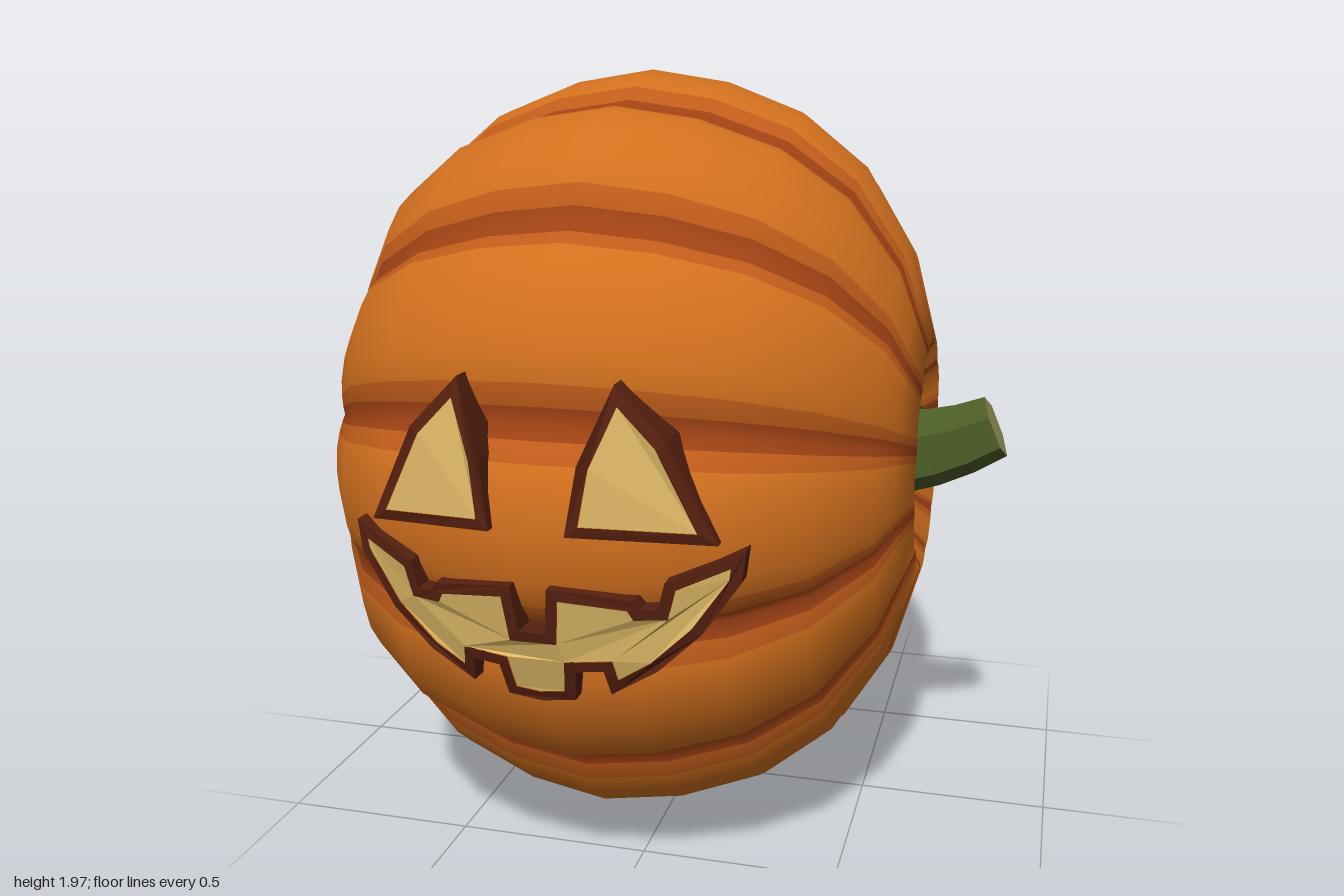
import * as THREE from 'three';

const CX = -0.107, CY = 0.995; // centre of the pumpkin, whose core runs along x
const mat = (color, opts = {}) => new THREE.MeshStandardMaterial({ color, ...opts });

function add(parent, name, geometry, material) {
  const mesh = new THREE.Mesh(geometry, material);
  mesh.name = name;
  parent.add(mesh);
  return mesh;
}

// Ribbed shell: one smooth grid, split into colour bands that share its normals
function buildShell() {
  const group = new THREE.Group();
  group.name = 'pumpkinShell';
  const half = [[0.204, 0.955], [0.398, 0.88], [0.56, 0.75], [0.68, 0.555], [0.715, 0.435], [0.75, 0.315], [0.5, 0]];
  const profile = [...half.map(([x, r]) => [-x, r]).reverse(), [0, 0.987], ...half];
  const steps = [-1, -0.85, -0.65, -0.4, 0, 0.4, 0.65, 0.85];
  const lobes = 12, cols = lobes * steps.length;
  const positions = [], all = [];
  const bands = { lobes: [], lobeEdges: [], grooves: [], baseRim: [], base: [] };
  profile.forEach(([x, r], i) => {
    for (let j = 0; j < cols; j++) {
      const t = steps[j % 8];
      const a = (Math.floor(j / 8) + t / 2) * (Math.PI * 2 / lobes);
      const k = r * (1 - 0.076 * Math.abs(t) ** 2.25);
      positions.push(CX + x, CY + k * Math.cos(a), k * Math.sin(a));
      if (i === profile.length - 1) continue;
      const p = i * cols + j, q = i * cols + (j + 1) % cols;
      const quad = [p, q, p + cols, q, q + cols, p + cols];
      all.push(...quad);
      const side = Math.min(j % 8, 7 - (j % 8)); // 0 beside a groove
      const band = i < 2 ? 'base' : i === 2 ? 'baseRim' : side === 0 ? 'grooves' : side === 1 ? 'lobeEdges' : 'lobes';
      bands[band].push(...quad);
    }
  });
  const shell = new THREE.BufferGeometry();
  shell.setAttribute('position', new THREE.Float32BufferAttribute(positions, 3));
  shell.setIndex(all);
  shell.computeVertexNormals();
  const colors = { lobes: 0xd2701e, lobeEdges: 0xc05c1a, grooves: 0xa04214, baseRim: 0x7a3210, base: 0x4f200d };
  for (const name in bands) {
    const g = new THREE.BufferGeometry();
    g.setAttribute('position', shell.attributes.position);
    g.setAttribute('normal', shell.attributes.normal);
    g.setIndex(bands[name]);
    add(group, name, g, mat(colors[name]));
  }
  return group;
}

// Six-sided stem that tapers and bends upward
function buildStem() {
  const g = new THREE.CylinderGeometry(0.084, 0.125, 1, 6, 4);
  const p = g.attributes.position;
  for (let i = 0; i < p.count; i++) {
    const t = p.getY(i) + 0.5, tilt = 0.4 * t, u = p.getZ(i), w = p.getX(i);
    p.setXYZ(i, 0.5 + 0.318 * t - u * Math.sin(tilt), 0.99 + 0.088 * t * t + u * Math.cos(tilt), w);
  }
  g.computeVertexNormals();
  const side = mat(0x4c5c26, { flatShading: true });
  return [g, [side, mat(0x8f8f55, { flatShading: true }), side]];
}

// Small curled tendril beside the stem
function buildTendril() {
  const pts = [new THREE.Vector3(0.56, 1.03, -0.08)];
  for (let i = 0; i <= 14; i++) {
    const a = i / 14 * Math.PI * 3;
    const r = 0.045 - 0.001 * i;
    pts.push(new THREE.Vector3(0.59 + 0.004 * i, 1.04 + r * Math.sin(a), -0.145 + r * Math.cos(a)));
  }
  return new THREE.TubeGeometry(new THREE.CatmullRomCurve3(pts), 40, 0.01, 5);
}

// Moves every edge of a clockwise outline inward by w
function inset(pts, w) {
  const n = pts.length;
  const normal = (a, b) => new THREE.Vector2(b[1] - a[1], a[0] - b[0]).normalize();
  return pts.map((p, i) => {
    const n1 = normal(pts[(i + n - 1) % n], p), n2 = normal(p, pts[(i + 1) % n]);
    const k = w / (1 + n1.dot(n2));
    return [p[0] + (n1.x + n2.x) * k, p[1] + (n1.y + n2.y) * k];
  });
}

// Extrudes a shape and bends it over the rounded front
function bentExtrude(shape, lift) {
  const depth = 0.13;
  const g = new THREE.ExtrudeGeometry(shape, { depth, bevelEnabled: false });
  const p = g.attributes.position;
  for (let i = 0; i < p.count; i++) {
    const x = p.getX(i), y = p.getY(i);
    const front = Math.sqrt(1 - (x / 0.95) ** 2 - (y - CY) ** 2);
    p.setXYZ(i, x + CX, y, front + lift + p.getZ(i) - depth);
  }
  g.computeVertexNormals();
  return g;
}

// Dark carved border with a glowing panel inside
function carving(name, outline) {
  const group = new THREE.Group();
  group.name = name;
  const toV = (pts) => pts.map(([x, y]) => new THREE.Vector2(x, y));
  const inner = inset(outline, 0.025);
  const border = new THREE.Shape(toV(outline));
  border.holes.push(new THREE.Path(toV(inner)));
  add(group, name + 'Border', bentExtrude(border, 0), mat(0x55200f));
  add(group, name + 'Glow', bentExtrude(new THREE.Shape(toV(inner)), -0.004), mat(0xdcb765));
  return group;
}

export function createModel() {
  const model = new THREE.Group();
  model.name = 'carvedPumpkin';
  model.add(buildShell());
  add(model, 'stem', ...buildStem());
  add(model, 'tendril', buildTendril(), mat(0x2c5a2a));

  // Outlines are measured from the pumpkin's middle in x
  const mirror = (pts) => pts.map(([x, y]) => [-x, y]).reverse();
  const eye = [[-0.4, 0.997], [-0.29, 1.222], [-0.178, 1.338], [-0.11, 1.17], [-0.086, 1.018]];
  model.add(carving('rightEye', eye), carving('leftEye', mirror(eye)));

  const mouth = [
    [0, 0.605], [-0.079, 0.615], [-0.089, 0.694], [-0.152, 0.699], [-0.162, 0.636], [-0.267, 0.7],
    [-0.361, 0.788], [-0.445, 0.908], [-0.455, 0.982], [-0.293, 0.919], [-0.277, 0.856],
    [-0.241, 0.856], [-0.23, 0.877], [-0.042, 0.898], [-0.031, 0.788],
  ];
  model.add(carving('mouth', [...mouth, ...mirror(mouth.slice(1))]));
  return model;
}
